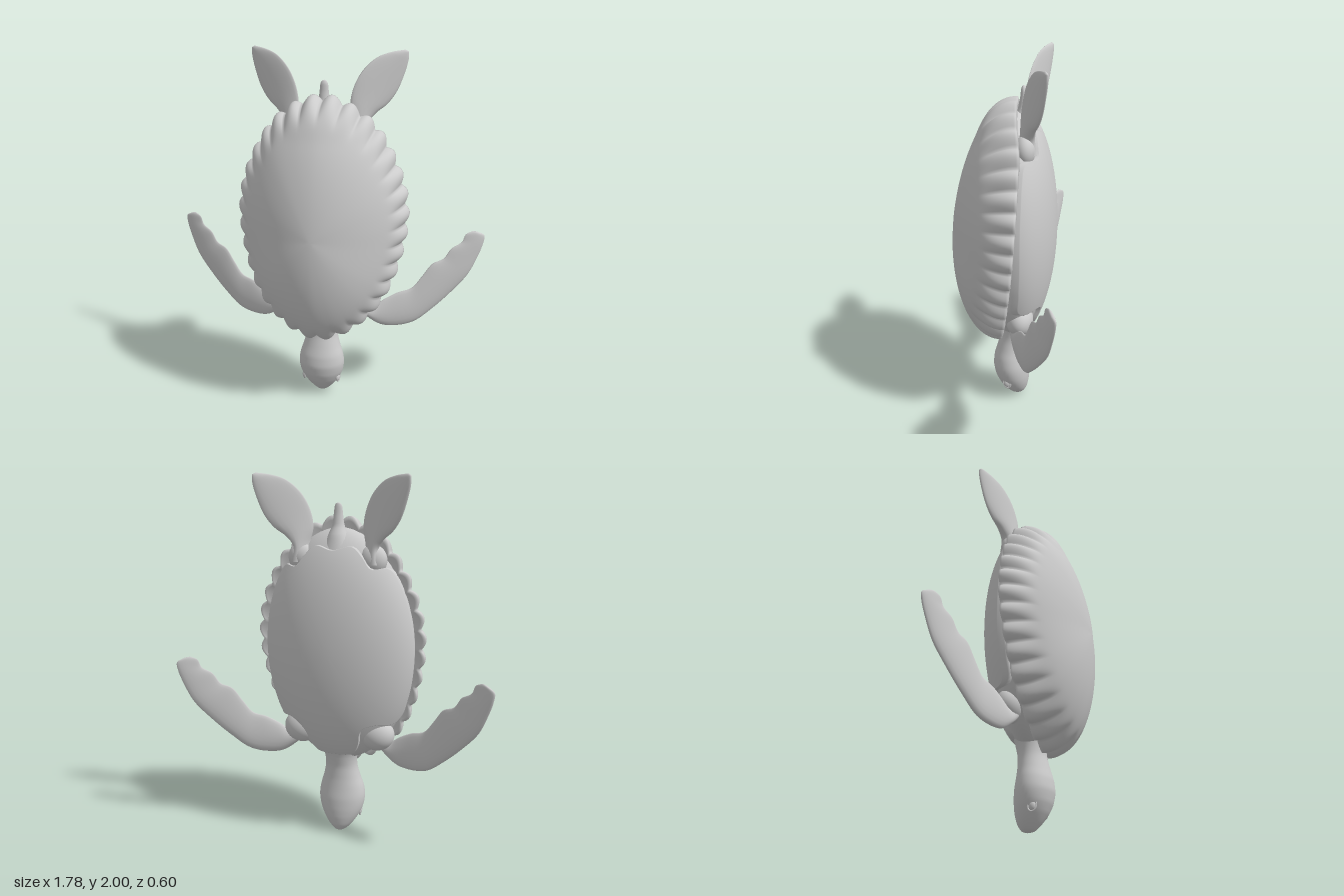
import * as THREE from 'three';
import { mergeVertices } from 'three/addons/utils/BufferGeometryUtils.js';

const material = new THREE.MeshStandardMaterial({ color: 0xcccccc });

// Closed smooth surface from a rule point(i, j); columns wrap around.
function skin(rows, cols, point) {
  const pos = [], index = [];
  for (let i = 0; i < rows; i++)
    for (let j = 0; j < cols; j++) pos.push(...point(i, j));
  for (let i = 0; i < rows - 1; i++)
    for (let j = 0; j < cols; j++) {
      const k = (j + 1) % cols;
      const a = i * cols + j, b = i * cols + k, c = a + cols, d = b + cols;
      index.push(a, b, c, b, d, c);
    }
  // Turn the faces outward by the sign of the enclosed volume
  const at = (n) => new THREE.Vector3(pos[3 * n], pos[3 * n + 1], pos[3 * n + 2]);
  let volume = 0;
  for (let t = 0; t < index.length; t += 3)
    volume += at(index[t]).dot(at(index[t + 1]).cross(at(index[t + 2])));
  if (volume < 0) index.reverse();
  let geo = new THREE.BufferGeometry();
  geo.setAttribute('position', new THREE.Float32BufferAttribute(pos, 3));
  geo.setIndex(index);
  geo = mergeVertices(geo, 1e-5);
  geo.computeVertexNormals();
  return geo;
}

const spline = (pts) =>
  new THREE.CatmullRomCurve3(pts.map((p) => new THREE.Vector3(p[0], p[1], p[2] || 0)), false, 'centripetal');

// Closed outline from its +x half (bottom to top), evenly spaced
function outline(half, n) {
  const other = half.slice(1, -1).reverse().map(([x, y]) => [-x, y]);
  const curve = new THREE.CatmullRomCurve3(
    [...half, ...other].map(([x, y]) => new THREE.Vector3(x, y, 0)), true, 'centripetal');
  curve.arcLengthDivisions = 1000;
  return curve.getSpacedPoints(n).slice(0, n);
}

// Elliptical sections stacked along y: [y, halfWidth, zFront, zBack]
function stack(sections, steps, cols) {
  const widths = spline(sections.map((s) => [s[0], s[1]])).getPoints(steps);
  const depths = spline(sections.map((s) => [s[2], s[3]])).getPoints(steps);
  const ts = sections.length - 1;
  return skin(steps + 1, cols, (i, j) => {
    const a = (j / cols) * Math.PI * 2, w = widths[i];
    const t = (i / steps) * ts, k = Math.min(Math.floor(t), ts - 1), f = t - k;
    const zf = THREE.MathUtils.lerp(sections[k][2], sections[k + 1][2], f);
    const zb = THREE.MathUtils.lerp(sections[k][3], sections[k + 1][3], f);
    const front = (zf + depths[i].x) / 2, back = (zb + depths[i].y) / 2;
    return [Math.max(0, w.y) * Math.cos(a), w.x, (front + back) / 2 + ((front - back) / 2) * Math.sin(a)];
  });
}

// Flat limb between a leading and a trailing edge, thickest near the leading one
function paddle(lead, trail, zAt, thickAt, side) {
  const steps = 56, cols = 20;
  const A = spline(lead).getPoints(steps), B = spline(trail).getPoints(steps);
  return skin(steps + 2, cols, (i, j) => {
    const k = Math.min(i, steps), a = (j / cols) * Math.PI * 2;
    const across = i > steps ? 0.5 : (1 - Math.cos(a)) / 2;
    const p = A[k].clone().lerp(B[k], across);
    const swell = i > steps ? 0 : Math.sin(a) * (1 - 0.45 * across);
    const tip = Math.sqrt(Math.max(0, 1 - Math.pow(k / steps, 6)));
    return [side * p.x, p.y, zAt(p.x) + thickAt(k / steps) * swell * (0.3 + 0.7 * tip)];
  });
}

// Depth of the domed belly at x, y
const belly = (x, y) =>
  -0.05 - 0.23 * Math.sqrt(Math.max(0, 1 - (x / 0.43) ** 2 - ((y - 1.08) / 0.66) ** 2));

function carapaceGeometry() {
  const n = 320, scallops = 32, cy = 1.07;
  const edge = outline([[0, 0.395], [0.13, 0.43], [0.23, 0.495], [0.32, 0.59], [0.385, 0.7], [0.43, 0.82],
    [0.465, 0.97], [0.48, 1.12], [0.468, 1.25], [0.435, 1.37], [0.37, 1.51], [0.29, 1.63], [0.2, 1.71],
    [0.1, 1.765], [0, 1.785]], n);
  const rim = (y) => 0.04 - 0.115 * Math.sin(Math.min(1, (y - 0.395) / 1.15) * Math.PI / 2) ** 0.8
    + 0.03 * THREE.MathUtils.smoothstep(y, 1.55, 1.78);
  const rows = 32;
  return skin(rows + 4, n, (i, j) => {
    const under = [[1, -0.012], [0.965, -0.016], [0.86, 0.01], [0, 0.02]][i - rows];
    const s = under ? under[0] : Math.sin((i / (rows - 1)) * Math.PI / 2);
    const e = edge[j], dx = e.x, dy = e.y - cy;
    const wave = Math.abs(Math.sin((j / n) * scallops * Math.PI));
    const r = s * (1 - 0.055 * (1 - wave) * THREE.MathUtils.smoothstep(s, 0.78, 1));
    const p = 1.62 + 0.28 * dy * dy / (dx * dx + dy * dy);
    const dome = 0.35 * Math.pow(Math.max(0, 1 - s ** p), 1 / p);
    const z = rim(cy + dy * s) + (under ? under[1] : dome);
    return [dx * r, cy + dy * r, z];
  });
}

function plastronGeometry() {
  const n = 160, rows = 18, cy = 1.08;
  const edge = outline([[0, 0.49], [0.1, 0.5], [0.14, 0.56], [0.17, 0.66], [0.25, 0.69], [0.33, 0.69], [0.39, 0.83],
    [0.42, 1.05], [0.405, 1.25], [0.35, 1.43], [0.29, 1.52], [0.21, 1.52], [0.16, 1.58], [0.1, 1.63], [0, 1.61]], n);
  return skin(rows + 3, n, (i, j) => {
    const s = i < rows ? Math.sin((i / (rows - 1)) * Math.PI / 2) : [1, 0.99, 0][i - rows];
    const x = edge[j].x * s, y = cy + (edge[j].y - cy) * s;
    const z = i < rows ? belly(x, y) : i < rows + 2 ? belly(x, y) + 0.03 * (i - rows + 1) : 0;
    return [x, y, z];
  });
}

export function createModel() {
  const group = new THREE.Group();
  const add = (name, geo, position = [0, 0, 0], scale = [1, 1, 1]) => {
    const mesh = new THREE.Mesh(geo, material);
    mesh.name = name;
    mesh.position.set(...position);
    mesh.scale.set(...scale);
    group.add(mesh);
    return mesh;
  };
  const ball = new THREE.SphereGeometry(1, 48, 32);

  // Shell and body
  add('carapace', carapaceGeometry());
  add('plastron', plastronGeometry());
  add('body', ball, [0, 1.08, -0.045], [0.41, 0.64, 0.215]);

  // Head, neck and tail
  add('headAndNeck', stack([[0.005, 0, -0.065, -0.07], [0.015, 0.03, -0.03, -0.1], [0.05, 0.066, 0.005, -0.122],
    [0.1, 0.1, 0.04, -0.133], [0.15, 0.122, 0.062, -0.136], [0.21, 0.132, 0.073, -0.134], [0.27, 0.124, 0.067, -0.126],
    [0.33, 0.105, 0.05, -0.12], [0.4, 0.09, 0.032, -0.12], [0.47, 0.095, 0.03, -0.135], [0.56, 0.13, 0.03, -0.165],
    [0.68, 0.14, 0.02, -0.15], [0.72, 0, -0.05, -0.06]], 60, 40));
  add('tail', stack([[1.6, 0.09, -0.03, -0.17], [1.68, 0.055, -0.04, -0.145], [1.73, 0.034, -0.06, -0.12],
    [1.79, 0.025, -0.072, -0.108], [1.83, 0.02, -0.076, -0.102], [1.845, 0.012, -0.082, -0.098],
    [1.85, 0, -0.089, -0.091]], 30, 20));

  // Flipper edges, root to tip
  const frontLead = [[0.2, 0.56], [0.27, 0.495], [0.34, 0.45], [0.42, 0.44], [0.52, 0.46], [0.62, 0.535], [0.72, 0.63],
    [0.81, 0.735], [0.855, 0.83], [0.885, 0.92], [0.888, 0.965], [0.85, 0.99]];
  const frontTrail = [[0.22, 0.64], [0.29, 0.575], [0.36, 0.615], [0.43, 0.65], [0.5, 0.672], [0.555, 0.74],
    [0.61, 0.815], [0.67, 0.842], [0.71, 0.9], [0.765, 0.935], [0.785, 0.98], [0.82, 0.997]];
  const hindOuter = [[0.24, 1.54], [0.235, 1.62], [0.27, 1.67], [0.325, 1.715], [0.37, 1.775], [0.405, 1.86],
    [0.428, 1.95], [0.428, 1.99]];
  const hindInner = [[0.14, 1.54], [0.155, 1.63], [0.14, 1.72], [0.155, 1.81], [0.2, 1.9], [0.27, 1.965],
    [0.34, 1.99], [0.41, 2.0]];

  for (const [side, label] of [[1, 'left'], [-1, 'right']]) {
    add(label + 'FrontFlipper', paddle(frontLead, frontTrail, (x) => -0.02 - 0.15 * x - 0.18 * x * x,
      (t) => 0.038 - 0.02 * t, side));
    add(label + 'HindFlipper', paddle(hindOuter, hindInner, (x) => -0.03 - 0.45 * x,
      (t) => 0.02 + 0.035 * (1 - t) ** 2, side));
    add(label + 'Shoulder', ball, [side * 0.22, 0.61, -0.09], [0.1, 0.09, 0.075]);
    add(label + 'Hip', ball, [side * 0.2, 1.56, -0.11], [0.075, 0.08, 0.055]);

    // Eye with a raised lid
    add(label + 'Eye', ball, [side * 0.1, 0.118, -0.012], [0.012, 0.024, 0.019]);
    const lid = add(label + 'Eyelid', new THREE.TorusGeometry(0.026, 0.005, 10, 32),
      [side * 0.101, 0.118, -0.012], [0.8, 1.1, 1]);
    lid.rotation.set(0, side * (Math.PI / 2 - 0.25), side * 0.35);
  }
  return group;
}
